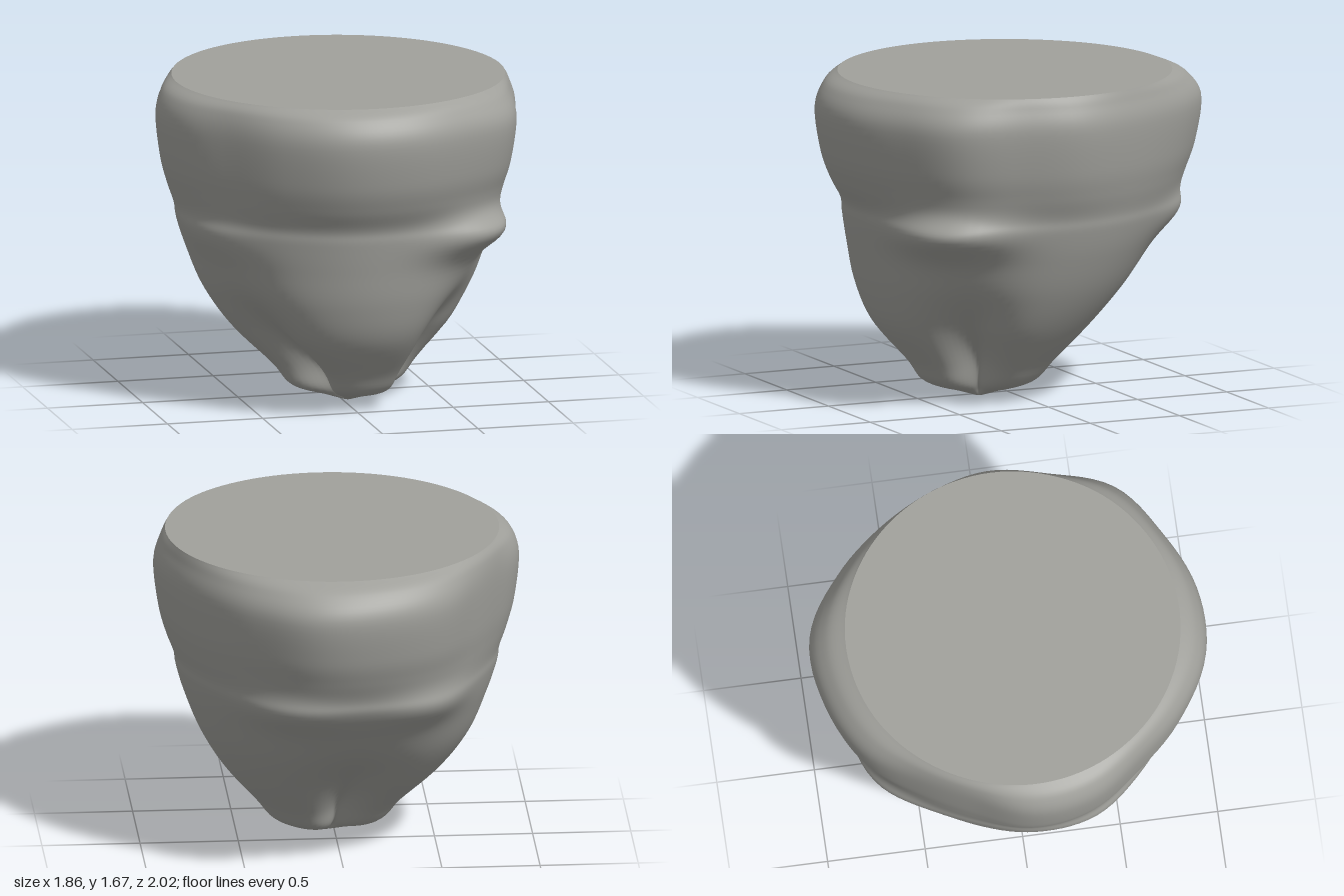
import * as THREE from 'three';

const SEG = 108, ROWS = 80, DEG = Math.PI / 180;

// Height, radius, centre x, centre z, fold depth, rim waviness
const PROFILE = [
  [0.003, 0.02, 0.03, 0.17, 0.5, 0],
  [0.035, 0.12, 0.03, 0.17, 0.6, 0],
  [0.09, 0.29, 0.03, 0.17, 0.62, 0],
  [0.2, 0.385, 0.03, 0.16, 0.52, 0],
  [0.4, 0.57, 0.01, 0.14, 0.28, 0],
  [0.6, 0.695, 0, 0.09, 0.09, 0.05],
  [0.8, 0.775, 0, 0.04, 0.02, 0.2],
  [0.95, 0.82, 0, 0.01, 0, 0.35],
  [1.03, 0.835, 0, 0, 0, 0.45],
  [1.14, 0.88, 0, 0, 0, 0.7],
  [1.28, 0.92, 0, 0, 0, 0.9],
  [1.5, 0.945, 0, 0, 0, 1],
  [1.62, 0.905, 0, 0.01, 0, 0.6],
  [1.67, 0.85, 0.02, 0.02, 0, 0.05],
];

// Radius of the wavy rim every 20 degrees, from +x towards +z
const RIM = [0.93, 0.93, 1.0, 0.98, 1.0, 1.0, 0.95, 0.91, 0.94,
  0.93, 0.86, 0.87, 0.95, 0.99, 1.015, 0.95, 0.905, 0.90];

// Three folds that run down to the tip
const FOLDS = [34, 150, 265];
// Soft bulges at the waist: angle, size, width
const BULGES = [[45, 0.13, 20], [240, 0.06, 20], [290, 0.06, 20], [155, 0.03, 20]];

const cubic = (a, b, c, d, t) =>
  b + 0.5 * t * (c - a + t * (2 * a - 5 * b + 4 * c - d + t * (3 * (b - c) + d - a)));

function rimAt(deg) {
  const n = RIM.length, u = deg / 20, i = Math.floor(u);
  const p = k => RIM[(i + k + n) % n];
  return cubic(p(-1), p(0), p(1), p(2), u - i);
}

function bell(deg, centre, width) {
  const d = ((deg - centre + 540) % 360) - 180;
  return Math.exp(-((d / width) ** 2));
}

// Interpolates the profile rows
function profileAt(u) {
  const last = PROFILE.length - 1;
  const i = Math.min(Math.floor(u * last), last - 1), t = u * last - i;
  const p = k => PROFILE[Math.max(0, Math.min(last, i + k))];
  return PROFILE[i].map((_, c) => cubic(p(-1)[c], p(0)[c], p(1)[c], p(2)[c], t));
}

function surfacePoint(u, deg) {
  const [y, r, cx, cz, depth, wave] = profileAt(u);
  let radius = r + wave * (rimAt(deg) - 0.945);
  const swirl = -10 * Math.max(0, 1 - y / 0.4);
  for (const f of FOLDS) radius *= 1 - depth * bell(deg, f + swirl, 19);
  for (const [a, size, width] of BULGES)
    radius += size * bell(deg, a, width) * Math.exp(-(((y - 0.94) / 0.11) ** 2));
  const a = deg * DEG;
  return [cx + radius * Math.cos(a), y, cz + radius * Math.sin(a)];
}

function bodyGeometry() {
  const pos = [], index = [];
  for (let i = 0; i <= ROWS; i++)
    for (let j = 0; j < SEG; j++) pos.push(...surfacePoint(i / ROWS, (j * 360) / SEG));
  for (let i = 0; i < ROWS; i++)
    for (let j = 0; j < SEG; j++) {
      const k = (j + 1) % SEG;
      const a = i * SEG + j, b = a + SEG, c = i * SEG + k, d = c + SEG;
      index.push(a, b, c, c, b, d);
    }
  const g = new THREE.BufferGeometry();
  g.setAttribute('position', new THREE.Float32BufferAttribute(pos, 3));
  g.setIndex(index);
  g.computeVertexNormals();
  return g;
}

// Flat lid that follows the top ring
function lidGeometry() {
  const g = new THREE.CircleGeometry(1, SEG).rotateX(-Math.PI / 2);
  const p = g.attributes.position;
  p.setXYZ(0, 0.02, 1.67, 0.02);
  for (let j = 0; j <= SEG; j++)
    p.setXYZ(j + 1, ...surfacePoint(1, (((SEG - j) % SEG) * 360) / SEG));
  return g;
}

export function createModel() {
  const grey = new THREE.MeshStandardMaterial({ color: 0xa0a09b, side: THREE.DoubleSide });
  grey.name = 'warm grey';
  const model = new THREE.Group();
  model.name = 'foldedPod';
  const body = new THREE.Mesh(bodyGeometry(), grey);
  body.name = 'foldedBody';
  const lid = new THREE.Mesh(lidGeometry(), grey);
  lid.name = 'flatTop';
  model.add(body, lid);
  return model;
}
